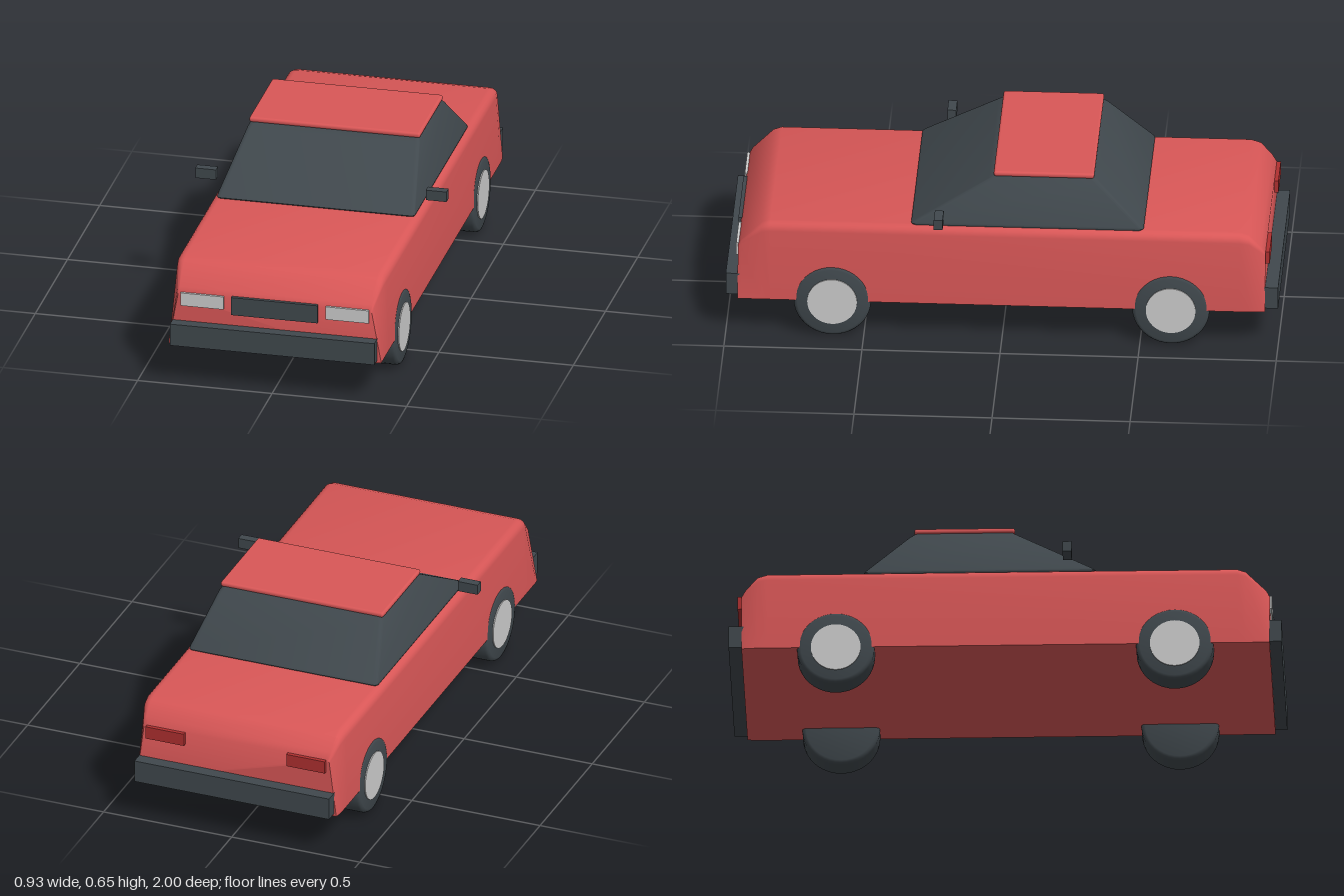
import * as THREE from 'three';
import { toCreasedNormals } from 'three/addons/utils/BufferGeometryUtils.js';
import { RoundedBoxGeometry } from 'three/addons/geometries/RoundedBoxGeometry.js';

const mat = (name, color) => {
  const m = new THREE.MeshStandardMaterial({ color });
  m.name = name;
  return m;
};

// Closed skin through rings of [x, y, z], counter-clockwise seen from the last ring's side
function loft(rings) {
  const pos = [];
  const tri = (a, b, c) => pos.push(...a, ...b, ...c);
  const n = rings[0].length;
  for (let i = 0; i < rings.length - 1; i++) {
    for (let j = 0; j < n; j++) {
      const k = (j + 1) % n, r = rings[i], s = rings[i + 1];
      tri(r[j], r[k], s[k]);
      tri(r[j], s[k], s[j]);
    }
  }
  const first = rings[0], last = rings[rings.length - 1];
  for (let j = 1; j < n - 1; j++) {
    tri(first[0], first[j + 1], first[j]);
    tri(last[0], last[j], last[j + 1]);
  }
  const g = new THREE.BufferGeometry();
  g.setAttribute('position', new THREE.Float32BufferAttribute(pos, 3));
  return toCreasedNormals(g, 0.6);
}

// Body cross-section: flat floor, leaning sides, rounded shoulders
function bodyRing([z, top, lower, upper, r]) {
  const half = [[lower, 0.145], [lower, 0.155]];
  for (let i = 0; i <= 5; i++) {
    const a = (i / 5) * Math.PI / 2;
    half.push([upper - r + r * Math.cos(a), top - r + r * Math.sin(a)]);
  }
  const mirrored = half.map(([x, y]) => [-x, y]).reverse();
  return [...half, ...mirrored].map(([x, y]) => [x, y, z]);
}

// Horizontal cabin outline with rounded corners
function cabinRing([y, back, front, hw]) {
  const r = 0.015, ring = [];
  const corners = [[front - r, hw - r], [back + r, hw - r], [back + r, r - hw], [front - r, r - hw]];
  corners.forEach(([z, x], c) => {
    for (let i = 0; i <= 3; i++) {
      const a = (c + i / 3) * Math.PI / 2;
      ring.push([x + r * Math.sin(a), y, z + r * Math.cos(a)]);
    }
  });
  return ring;
}

export function createModel() {
  const car = new THREE.Group();
  car.name = 'car';
  const red = mat('body red', 0xd95757);
  const dark = mat('dark grey', 0x40484d);
  const silver = mat('light grey', 0xcccccc);
  const tailRed = mat('tail light red', 0xb03030);

  const add = (name, geometry, material, parent = car) => {
    const m = new THREE.Mesh(geometry, material);
    m.name = name;
    parent.add(m);
    return m;
  };
  const box = (name, material, [x0, x1], [y0, y1], [z0, z1]) =>
    add(name, new THREE.BoxGeometry(x1 - x0, y1 - y0, z1 - z0), material)
      .position.set((x0 + x1) / 2, (y0 + y1) / 2, (z0 + z1) / 2);

  // Body: z, top, lower half width, upper half width, shoulder radius
  add('body', loft([
    [-0.953, 0.37, 0.388, 0.362, 0.012],
    [-0.937, 0.395, 0.393, 0.371, 0.018],
    [-0.895, 0.44, 0.395, 0.384, 0.027],
    [-0.86, 0.451, 0.395, 0.388, 0.032],
    [0.84, 0.451, 0.395, 0.388, 0.032],
    [0.87, 0.44, 0.395, 0.384, 0.027],
    [0.945, 0.367, 0.395, 0.366, 0.014],
    [0.957, 0.345, 0.394, 0.361, 0.01],
  ].map(bodyRing)), red);

  // Glazed cabin: y, back z, front z, half width
  add('cabin', loft([
    [0.44, -0.5, 0.32, 0.362],
    [0.455, -0.512, 0.33, 0.368],
    [0.462, -0.507, 0.322, 0.367],
    [0.618, -0.347, 0.052, 0.32],
    [0.636, -0.325, 0.025, 0.31],
  ].map(cabinRing)), dark);

  // Roof panel
  add('roof', new RoundedBoxGeometry(0.636, 0.02, 0.364, 3, 0.009), red).position.set(0, 0.64, -0.148);

  // Bumpers and grille
  box('frontBumper', dark, [-0.38, 0.38], [0.155, 0.239], [0.945, 1]);
  box('rearBumper', dark, [-0.38, 0.38], [0.155, 0.239], [-1, -0.945]);
  box('grille', dark, [-0.16, 0.16], [0.283, 0.352], [0.94, 0.967]);

  // Tyre profile with rounded shoulders
  const tyreProfile = [[0, -0.05], [0.126, -0.05], [0.135, -0.047], [0.14, -0.038],
    [0.14, 0.038], [0.135, 0.047], [0.126, 0.05], [0, 0.05]].map(([r, y]) => new THREE.Vector2(r, y));
  const tyreGeo = toCreasedNormals(new THREE.LatheGeometry(tyreProfile, 40), 0.8);
  const hubGeo = new THREE.CylinderGeometry(0.09, 0.09, 0.02, 40);

  for (const s of [1, -1]) {
    const side = s > 0 ? 'left' : 'right';
    const span = (a, b) => (s > 0 ? [a, b] : [-b, -a]);
    box(side + 'Headlight', silver, span(0.19, 0.35), [0.3, 0.35], [0.94, 0.964]);
    box(side + 'TailLight', tailRed, span(0.2, 0.35), [0.322, 0.37], [-0.968, -0.935]);
    box(side + 'Mirror', dark, span(0.39, 0.467), [0.484, 0.523], [0.21, 0.242]);

    for (const [end, z] of [['Front', 0.614], ['Rear', -0.612]]) {
      const wheel = new THREE.Group();
      wheel.name = side + end + 'Wheel';
      wheel.position.set(s * 0.3465, 0.144, z);
      wheel.rotation.z = -s * Math.PI / 2;
      add('tyre', tyreGeo, dark, wheel);
      add('hubcap', hubGeo, silver, wheel).position.y = 0.044;
      car.add(wheel);
    }
  }
  return car;
}
